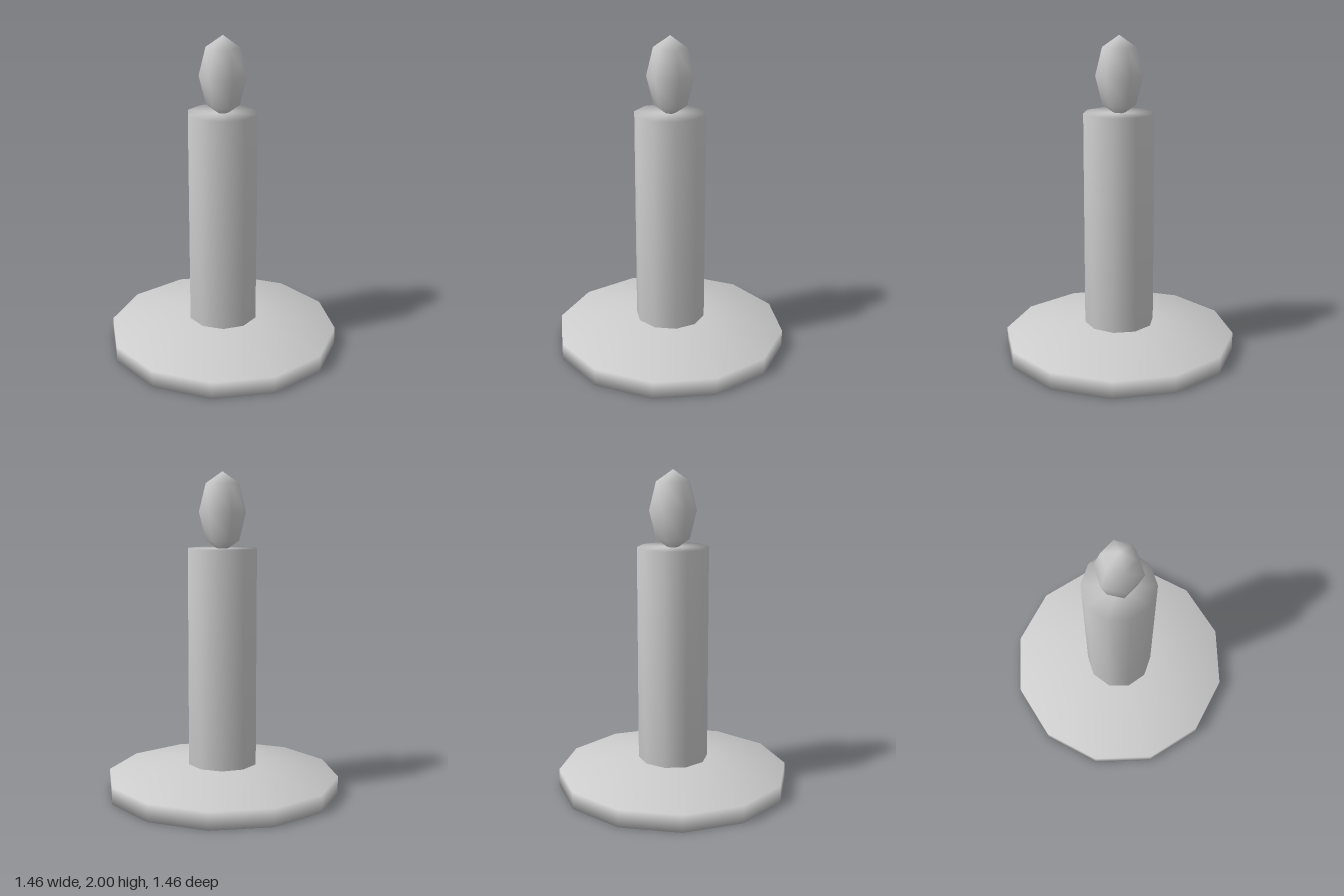
import * as THREE from 'three';
import { mergeVertices } from 'three/addons/utils/BufferGeometryUtils.js';

const grey = new THREE.MeshStandardMaterial({ color: 0xcccccc });
grey.name = 'lightGrey';

// Revolves a [radius, height] profile, listed bottom to top, with one smooth
// normal per corner, caps included.
function turned(name, profile, sides) {
  const points = profile.map(([r, y]) => new THREE.Vector2(r, y));
  const lathe = new THREE.LatheGeometry(points, sides, Math.PI / 2);
  lathe.deleteAttribute('uv');
  lathe.deleteAttribute('normal');
  const geometry = mergeVertices(lathe);
  geometry.computeVertexNormals();
  const mesh = new THREE.Mesh(geometry, grey);
  mesh.name = name;
  return mesh;
}

export function createModel() {
  const model = new THREE.Group();
  model.name = 'candle';

  // Wide dish with a short rim and a gently sloping top
  model.add(turned('base', [[0, 0], [0.73, 0], [0.73, 0.11], [0.25, 0.185], [0, 0.185]], 12));

  // Straight wax column
  model.add(turned('candleStick', [[0, 0.18], [0.22, 0.18], [0.22, 1.535], [0, 1.535]], 10));

  // Stretched six-sided flame, its tip sunk slightly into the wax
  const flame = [];
  for (let i = 0; i <= 4; i++) {
    const a = (i / 4) * Math.PI;
    flame.push([i % 4 ? 0.145 * Math.sin(a) : 0, 1.755 - 0.245 * Math.cos(a)]);
  }
  model.add(turned('flame', flame, 6));

  return model;
}
